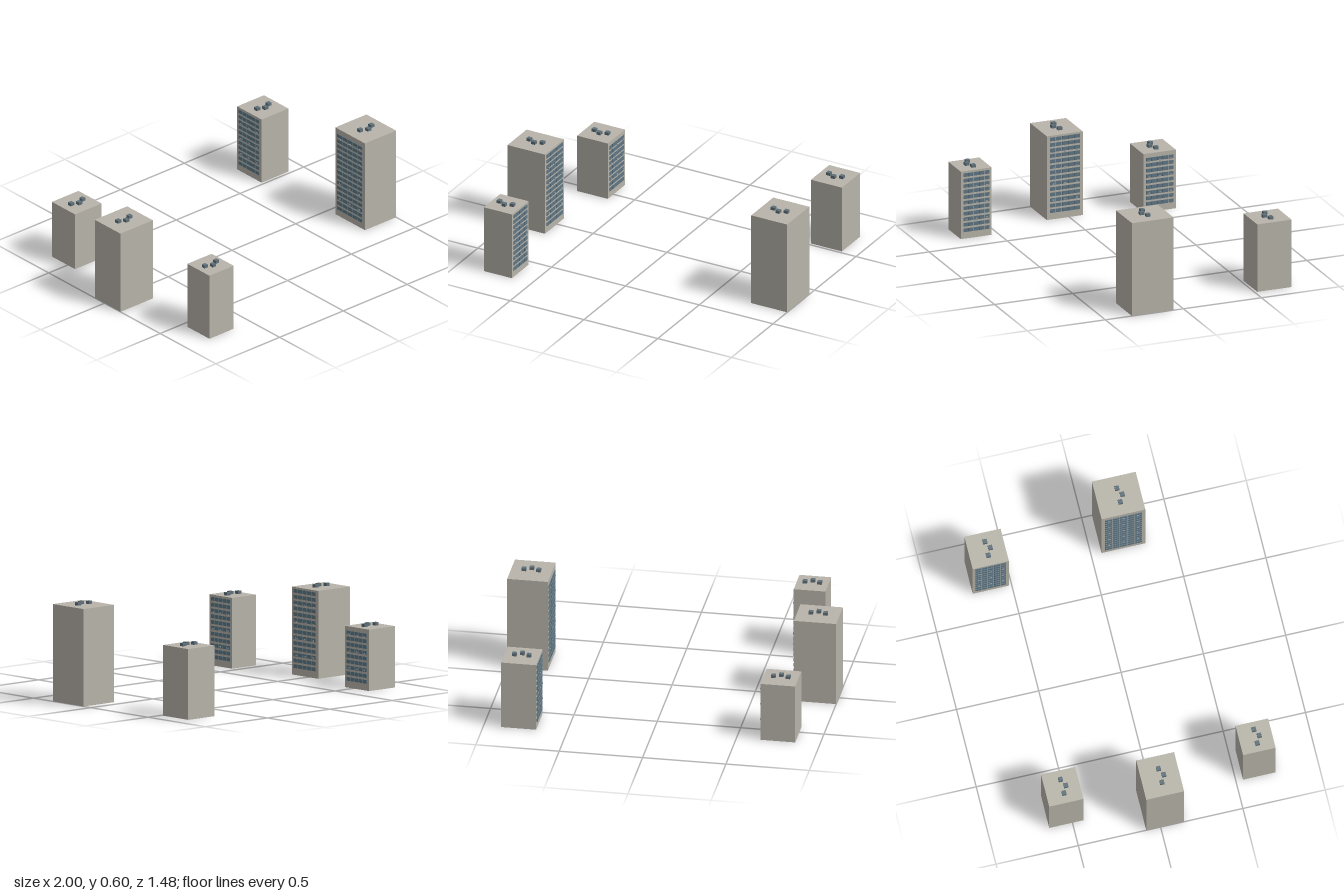
import * as THREE from 'three';

const concrete = new THREE.MeshStandardMaterial({ name: 'concrete', color: 0xb8b4aa });
const glass = new THREE.MeshStandardMaterial({ name: 'blueGreyGlass', color: 0x5f7683 });
const metal = new THREE.MeshStandardMaterial({ name: 'roofMetal', color: 0x5f707a });
const vent = new THREE.MeshStandardMaterial({ name: 'paleVent', color: 0x949ca0 });

function addBox(parent, name, material, size, position) {
  const mesh = new THREE.Mesh(new THREE.BoxGeometry(...size), material);
  mesh.name = name;
  mesh.position.set(...position);
  parent.add(mesh);
}

// One tower block; its windows look towards the middle (facing = +1 or -1 in x)
function makeTower({ name, x, z, width, depth, height, rows, facing }) {
  const tower = new THREE.Group();
  tower.name = name;
  tower.position.set(x, 0, z);
  addBox(tower, 'walls', concrete, [width, height, depth], [0, height / 2, 0]);

  // Five columns of thin window plates
  const face = facing * width / 2;
  const pitch = depth * 0.17;
  for (let row = 0; row < rows; row++) {
    for (let column = -2; column <= 2; column++) {
      addBox(tower, 'window', glass, [0.004, 0.022, pitch - 0.0035],
        [face + facing * 0.002, 0.053 + row * 0.0346, column * pitch]);
    }
  }

  // Small wall vents, three to a level
  for (let y = 0.12; y < height - 0.04; y += 0.1) {
    for (const side of [-1, 0, 1]) {
      addBox(tower, 'wallVent', vent, [0.008, 0.008, 0.012],
        [face + facing * 0.004, y, side * depth * 0.33]);
    }
  }

  // Three roof units in a shallow V
  for (const side of [-1, 0, 1]) {
    addBox(tower, 'roofUnit', metal, [0.026, 0.018, 0.026],
      [side * 0.044, height + 0.009, side === 0 ? 0.022 : 0]);
  }
  return tower;
}

export function createModel() {
  const city = new THREE.Group();
  city.name = 'towerBlocks';
  const towers = [
    { name: 'rightBackTower', x: -0.748, z: -0.537, width: 0.208, depth: 0.208, height: 0.367, rows: 9, facing: 1 },
    { name: 'rightMiddleTower', x: -0.873, z: 0.028, width: 0.254, depth: 0.23, height: 0.525, rows: 14, facing: 1 },
    { name: 'rightFrontTower', x: -0.729, z: 0.642, width: 0.19, depth: 0.198, height: 0.423, rows: 11, facing: 1 },
    { name: 'leftFrontTower', x: 0.878, z: 0.196, width: 0.244, depth: 0.266, height: 0.582, rows: 15, facing: -1 },
    { name: 'leftBackTower', x: 0.79, z: -0.627, width: 0.21, depth: 0.22, height: 0.423, rows: 11, facing: -1 },
  ];
  for (const tower of towers) city.add(makeTower(tower));
  return city;
}
